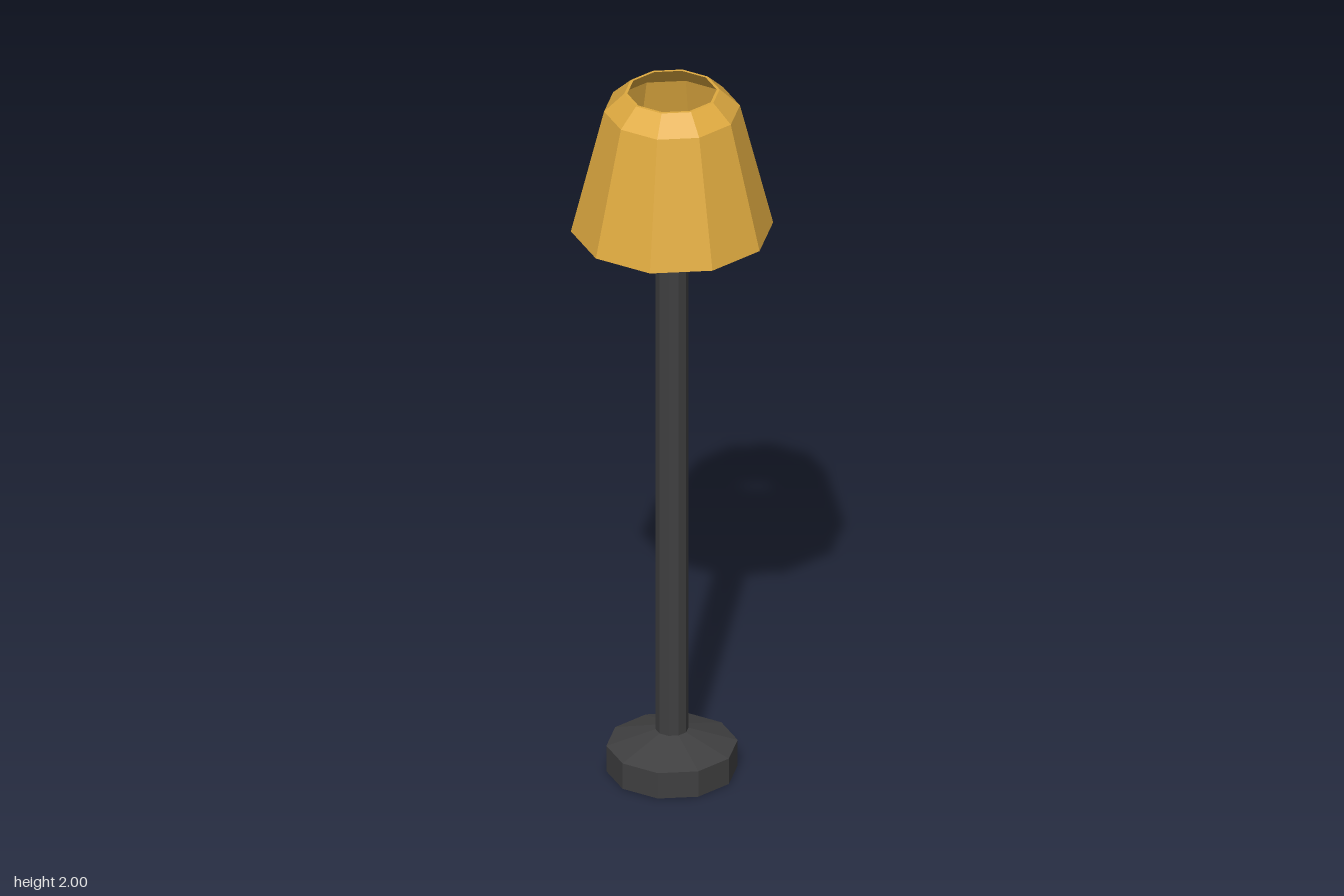
import * as THREE from 'three';

const SIDES = 10;

export function createModel() {
  const model = new THREE.Group();
  model.name = 'floorLamp';

  const gold = new THREE.MeshStandardMaterial({ color: 0xdfaa40, flatShading: true });
  gold.name = 'warm gold';
  const charcoal = new THREE.MeshStandardMaterial({ color: 0x3f3f40, flatShading: true });
  charcoal.name = 'charcoal';

  const add = (name, geometry, material) => {
    const mesh = new THREE.Mesh(geometry, material);
    mesh.name = name;
    model.add(mesh);
    return mesh;
  };
  // Ten-sided turned part from [radius, height] pairs, listed bottom to top
  const turned = (profile) =>
    new THREE.LatheGeometry(profile.map(([r, y]) => new THREE.Vector2(r, y)), SIDES);

  // Weighted foot with a sloped top
  add('base', turned([[0, 0], [0.172, 0], [0.172, 0.075], [0.043, 0.118], [0, 0.118]]), charcoal);

  // Slim pole
  add('pole', turned([[0.043, 0.1], [0.043, 1.72], [0, 1.72]]), charcoal);

  // Small faceted bulb on top of the pole
  add('bulb', turned([[0.03, 1.72], [0.039, 1.75], [0.039, 1.79], [0.024, 1.82], [0, 1.82]]), gold);

  // Hollow shade: up the outside, down the inside
  add('shade', turned([
    [0.265, 1.6], [0.178, 1.95], [0.125, 2], [0.117, 2],
    [0.166, 1.945], [0.252, 1.6], [0.265, 1.6],
  ]), gold);

  // Three thin arms joining the pole to flat panels of the shade
  const up = new THREE.Vector3(0, 1, 0);
  for (const degrees of [72, 216, 324]) {
    const a = THREE.MathUtils.degToRad(degrees);
    const start = new THREE.Vector3(Math.cos(a) * 0.03, 1.7, -Math.sin(a) * 0.03);
    const end = new THREE.Vector3(Math.cos(a) * 0.215, 1.74, -Math.sin(a) * 0.215);
    const direction = end.clone().sub(start);
    const arm = add('shadeArm', new THREE.CylinderGeometry(0.011, 0.011, direction.length(), 4), charcoal);
    arm.position.copy(start).add(end).multiplyScalar(0.5);
    arm.quaternion.setFromUnitVectors(up, direction.normalize());
  }

  return model;
}
